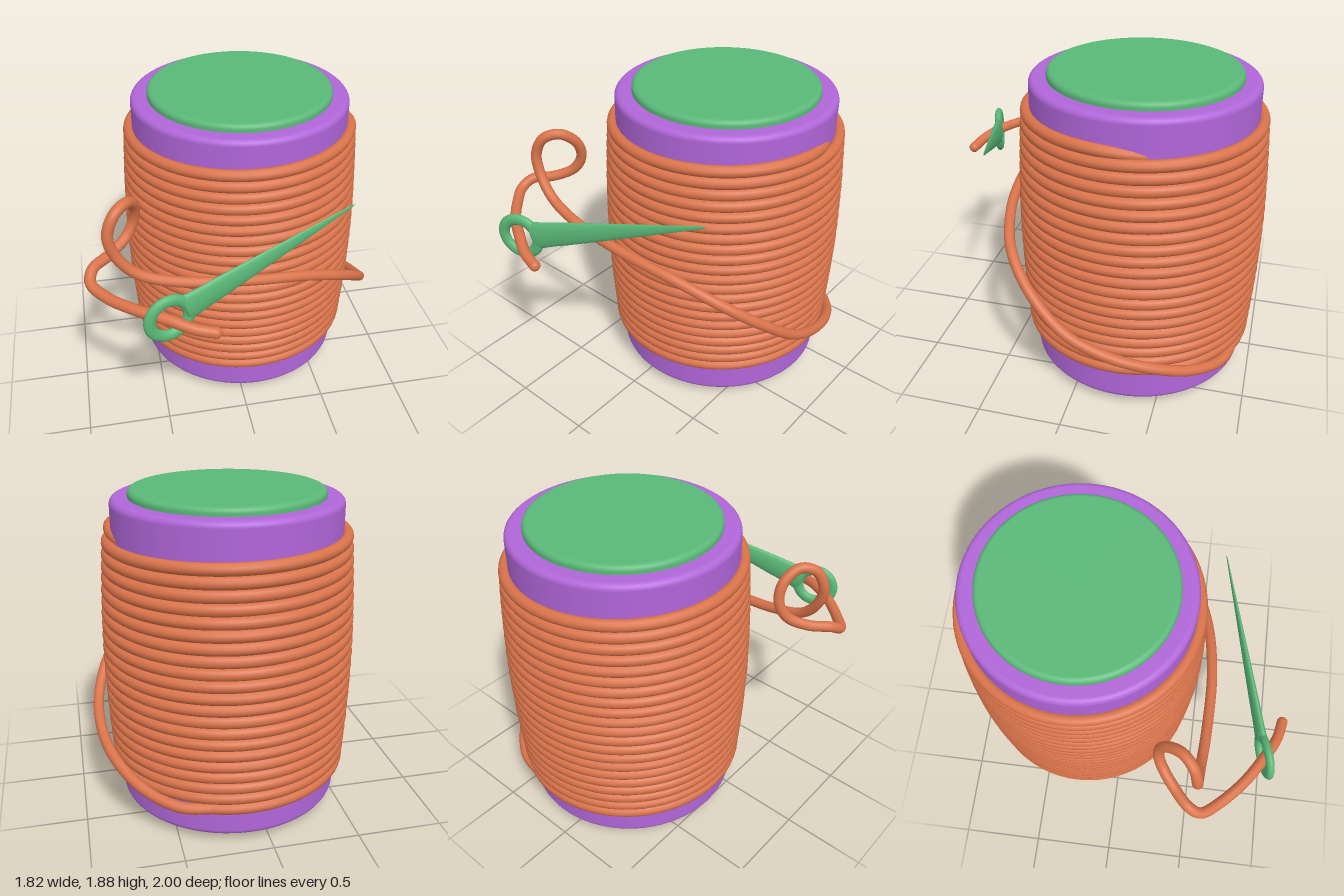
import * as THREE from 'three';

const CX = 0.1, CZ = -0.27;           // spool axis
const A0 = Math.PI - 0.35;            // angle where the winding starts
const TURNS = 20.89;
const WIRE = 0.034;

// point of the winding: a rising, slightly barrelled helix whose end tucks inward
function windingPoint(t, target = new THREE.Vector3()) {
  const a = A0 + t * TURNS * Math.PI * 2;
  const tuck = THREE.MathUtils.smoothstep(t, 1 - 0.14 / TURNS, 1);
  const r = 0.667 + 0.03 * Math.sin(Math.PI * t) - 0.07 * tuck;
  const y = 0.243 + 1.428 * t - 0.05 * tuck;
  return target.set(CX + r * Math.sin(a), y, CZ + r * Math.cos(a));
}

class Winding extends THREE.Curve {
  constructor() {
    super();
    this.arcLengthDivisions = 3000;
  }
  getPoint(t, target) {
    return windingPoint(t, target);
  }
}

// solid of revolution with rounded rims
function roundedDisc(r, y0, y1, b) {
  const pts = [new THREE.Vector2(0, y0)];
  for (let i = 0; i <= 6; i++) {
    const a = (i / 6) * Math.PI / 2;
    pts.push(new THREE.Vector2(r - b + b * Math.sin(a), y0 + b - b * Math.cos(a)));
  }
  for (let i = 0; i <= 6; i++) {
    const a = (i / 6) * Math.PI / 2;
    pts.push(new THREE.Vector2(r - b + b * Math.cos(a), y1 - b + b * Math.sin(a)));
  }
  pts.push(new THREE.Vector2(0, y1));
  return new THREE.LatheGeometry(pts, 72);
}

export function createModel() {
  const model = new THREE.Group();
  const green = new THREE.MeshStandardMaterial({ color: 0x5ab878 });
  const purple = new THREE.MeshStandardMaterial({ color: 0xb066d8 });
  const orange = new THREE.MeshStandardMaterial({ color: 0xd9734a });

  const add = (name, geometry, material, parent = model) => {
    const mesh = new THREE.Mesh(geometry, material);
    mesh.name = name;
    parent.add(mesh);
    return mesh;
  };

  // spool: purple core with a green disc at each end
  const spool = new THREE.Group();
  spool.name = 'spool';
  spool.position.set(CX, 0, CZ);
  model.add(spool);
  add('spoolCore', roundedDisc(0.65, 0.05, 1.84, 0.035), purple, spool);
  add('bottomDisc', roundedDisc(0.55, 0, 0.09, 0.03), green, spool);
  add('topDisc', roundedDisc(0.55, 1.795, 1.885, 0.03), green, spool);

  // wound thread
  add('woundThread', new THREE.TubeGeometry(new Winding(), 1400, WIRE, 12), orange);

  // loose tail: leaves the winding, sweeps round the front, loops and goes through the eye
  const tailPoints = [
    [0.5, 0.245, -0.85], [0.68, 0.29, -0.70], [0.81, 0.37, -0.49],
    [0.87, 0.45, -0.25], [0.865, 0.56, 0], [0.77, 0.74, 0.23],
    [0.6, 0.89, 0.39], [0.35, 0.99, 0.48], [0, 1.045, 0.53],
    [-0.4, 1.09, 0.525], [-0.62, 1.16, 0.505], [-0.73, 1.28, 0.49],
    [-0.765, 1.41, 0.48], [-0.72, 1.52, 0.45], [-0.65, 1.545, 0.38],
    [-0.605, 1.47, 0.29], [-0.61, 1.36, 0.255], [-0.66, 1.265, 0.28],
    [-0.76, 1.21, 0.36], [-0.86, 1.195, 0.455], [-0.88, 1.155, 0.53],
    [-0.8, 1.13, 0.64], [-0.66, 1.13, 0.77], [-0.5, 1.125, 0.875],
    [-0.38, 1.1, 0.94], [-0.27, 1.08, 0.968],
  ].map(p => new THREE.Vector3(...p));
  const tail = new THREE.CatmullRomCurve3([windingPoint(0.004), windingPoint(0), ...tailPoints]);
  add('looseThread', new THREE.TubeGeometry(tail, 320, WIRE - 0.002, 12), orange);
  const tip = add('threadEnd', new THREE.SphereGeometry(WIRE - 0.002, 16, 12), orange);
  tip.position.copy(tailPoints[tailPoints.length - 1]);

  // needle: flattened ring for the eye and a flattened tapering blade along local x
  const needle = new THREE.Group();
  needle.name = 'needle';
  needle.position.set(-0.495, 1.13, 0.868);
  needle.rotation.set(0, 0.312, 0.294);
  model.add(needle);
  const eye = add('needleEye', new THREE.TorusGeometry(0.112, 0.034, 16, 48), green, needle);
  eye.scale.z = 0.7;
  const profile = [
    [0, 0.088], [0.075, 0.088], [0.09, 0.1], [0.083, 0.15], [0.077, 0.22],
    [0.074, 0.3], [0.052, 0.6], [0.03, 0.88], [0.008, 1.17], [0, 1.19],
  ].map(([r, s]) => new THREE.Vector2(r, s));
  const blade = add('needleBlade', new THREE.LatheGeometry(profile, 28), green, needle);
  blade.rotation.z = -Math.PI / 2;
  blade.scale.z = 0.33;

  return model;
}
